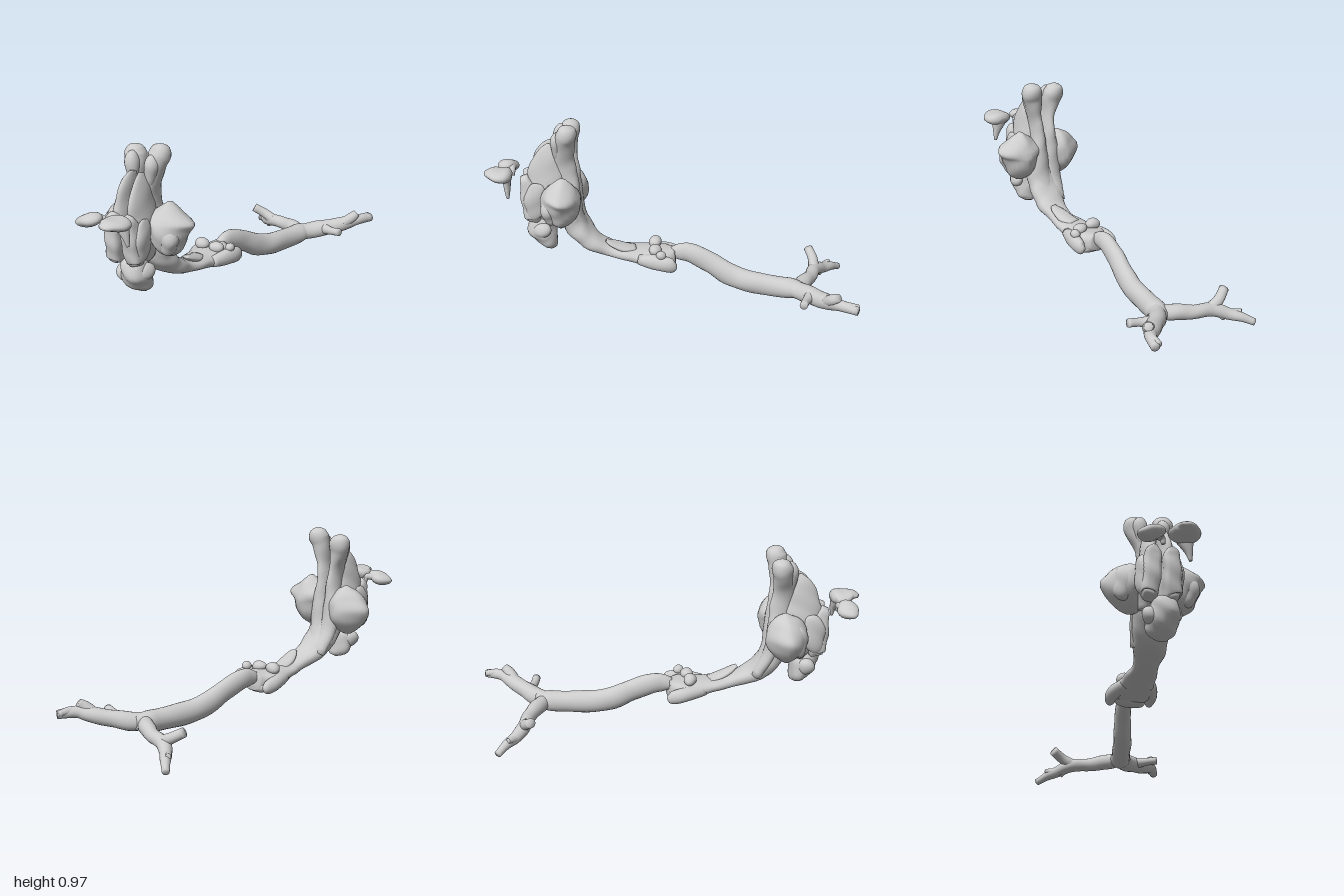
import * as THREE from 'three';
import { mergeVertices } from 'three/addons/utils/BufferGeometryUtils.js';

const material = new THREE.MeshStandardMaterial({ color: 0xcccccc });
const X = new THREE.Vector3(1, 0, 0), Y = new THREE.Vector3(0, 1, 0);

// Gentle organic unevenness from position
const ripple = (p) => Math.sin(p.x * 37 + p.y * 21) * Math.sin(p.z * 31 + p.y * 33 + 1);
// Cosine or sine made squarer by a power below 1, more pointed above 1
const shaped = (v, power) => Math.sign(v) * Math.abs(v) ** power;

export function createModel() {
  const model = new THREE.Group();

  function add(name, geometry) {
    geometry.computeVertexNormals();
    const mesh = new THREE.Mesh(geometry, material);
    mesh.name = name;
    model.add(mesh);
  }

  // Loft ovals [x, y, z, radius along ref, radius across ref] along a smooth path
  function loft(name, rows, ref = X, bump = 0.06, power = 1, sides = 20) {
    const path = new THREE.CatmullRomCurve3(rows.map((r) => new THREE.Vector3(r[0], r[1], r[2])), false, 'catmullrom');
    const size = new THREE.CatmullRomCurve3(rows.map((r) => new THREE.Vector3(r[3], r[4] ?? r[3], 0)), false, 'catmullrom');
    const steps = (rows.length - 1) * 5, pos = [], index = [];
    for (let i = 0; i <= steps; i++) {
      const c = path.getPoint(i / steps), s = size.getPoint(i / steps), t = path.getTangent(i / steps);
      const a = ref.clone().addScaledVector(t, -ref.dot(t)).normalize();
      const b = t.clone().cross(a);
      for (let j = 0; j < sides; j++) {
        const w = (j / sides) * Math.PI * 2;
        const d = a.clone().multiplyScalar(shaped(Math.cos(w), power) * s.x)
          .addScaledVector(b, shaped(Math.sin(w), power) * s.y);
        const k = 1 + bump * ripple(c.clone().add(d));
        pos.push(...c.clone().addScaledVector(d, k).toArray());
        if (i < steps) {
          const p = i * sides + j, q = i * sides + (j + 1) % sides;
          index.push(p, q, p + sides, q, q + sides, p + sides);
        }
      }
    }
    const n = pos.length / 3;
    pos.push(...path.getPoint(0).toArray(), ...path.getPoint(1).toArray());
    for (let j = 0; j < sides; j++) {
      const k = (j + 1) % sides, e = n - sides;
      index.push(n, k, j, n + 1, e + j, e + k);
    }
    const g = new THREE.BufferGeometry();
    g.setAttribute('position', new THREE.Float32BufferAttribute(pos, 3));
    g.setIndex(index);
    add(name, g);
  }

  // Uneven rounded lump
  function lump(name, [x, y, z], [rx, ry, rz], rot = [0, 0, 0], bump = 0.14) {
    let g = new THREE.IcosahedronGeometry(1, 6);
    g.deleteAttribute('uv');
    g.deleteAttribute('normal');
    g = mergeVertices(g);
    g.scale(rx, ry, rz);
    g.rotateX(rot[0]).rotateY(rot[1]).rotateZ(rot[2]);
    const p = g.attributes.position, v = new THREE.Vector3(), at = new THREE.Vector3(x, y, z);
    for (let i = 0; i < p.count; i++) {
      v.fromBufferAttribute(p, i);
      v.multiplyScalar(1 + bump * ripple(v.clone().add(at))).add(at);
      p.setXYZ(i, v.x, v.y, v.z);
    }
    add(name, g);
  }

  // Windpipe
  loft('windpipe', [
    [-0.08, 0.235, 0.0, 0.03, 0.03], [-0.075, 0.24, -0.05, 0.035, 0.049], [-0.07, 0.235, -0.11, 0.04, 0.056],
    [-0.05, 0.195, -0.21, 0.043, 0.058], [-0.025, 0.143, -0.31, 0.047, 0.062], [0.005, 0.116, -0.42, 0.05, 0.061],
    [0.04, 0.109, -0.58, 0.051, 0.058], [0.06, 0.111, -0.66, 0.055, 0.053], [0.075, 0.115, -0.72, 0.03, 0.035],
  ], X, 0.03);

  // Airway branches
  loft('leftMainBranch', [
    [0.05, 0.112, -0.63, 0.045], [0.1, 0.115, -0.71, 0.048], [0.18, 0.13, -0.78, 0.045],
    [0.26, 0.15, -0.85, 0.039], [0.31, 0.165, -0.9, 0.03], [0.355, 0.16, -0.985, 0.023],
  ], Y);
  loft('leftUpperTwig', [[0.25, 0.15, -0.83, 0.03], [0.29, 0.185, -0.86, 0.03], [0.31, 0.21, -0.885, 0.022]]);
  loft('leftEndTwig', [[0.3, 0.165, -0.88, 0.025], [0.325, 0.172, -0.93, 0.022], [0.335, 0.17, -0.99, 0.016]], Y);
  loft('leftSideTwig', [[0.17, 0.13, -0.75, 0.032], [0.23, 0.135, -0.725, 0.023], [0.29, 0.145, -0.71, 0.021]], Y);
  loft('rightMainBranch', [
    [0.07, 0.112, -0.66, 0.035], [0.0, 0.107, -0.71, 0.042], [-0.1, 0.098, -0.76, 0.036],
    [-0.2, 0.09, -0.79, 0.036], [-0.26, 0.065, -0.83, 0.032], [-0.31, 0.05, -0.88, 0.025], [-0.365, 0.022, -0.93, 0.018],
  ], Y);
  loft('rightUpperTwig', [[-0.19, 0.095, -0.785, 0.032], [-0.25, 0.125, -0.78, 0.027], [-0.31, 0.16, -0.755, 0.026]], Y);
  loft('rightEndTwig', [[-0.27, 0.06, -0.83, 0.024], [-0.31, 0.07, -0.86, 0.016], [-0.325, 0.075, -0.875, 0.012]], Y);
  loft('rightLowerTwig', [[-0.23, 0.07, -0.81, 0.022], [-0.25, 0.035, -0.825, 0.012]]);

  // Curved base linking windpipe and upright frame
  loft('base', [
    [-0.08, 0.215, -0.02, 0.05, 0.05], [-0.075, 0.21, 0.04, 0.095, 0.052], [-0.08, 0.215, 0.12, 0.1, 0.045],
    [-0.08, 0.225, 0.22, 0.085, 0.035], [-0.08, 0.24, 0.31, 0.065, 0.033], [-0.087, 0.27, 0.4, 0.075, 0.042],
    [-0.1, 0.32, 0.475, 0.088, 0.055], [-0.115, 0.4, 0.535, 0.095, 0.06], [-0.125, 0.52, 0.565, 0.09, 0.055],
    [-0.128, 0.62, 0.58, 0.06, 0.04],
  ], X, 0.06, 0.85, 24);
  loft('rearHornRight', [[-0.14, 0.215, 0.17, 0.03], [-0.17, 0.205, 0.06, 0.037], [-0.175, 0.195, -0.01, 0.026, 0.036], [-0.17, 0.195, -0.035, 0.01]]);
  loft('rearHornLeft', [[-0.01, 0.22, 0.17, 0.03], [0.025, 0.22, 0.06, 0.035, 0.045], [0.035, 0.21, -0.01, 0.026, 0.04], [0.03, 0.21, -0.035, 0.01]]);
  lump('rearUnderside', [-0.08, 0.188, 0.03], [0.1, 0.042, 0.05]);
  for (const x of [-0.125, -0.035]) lump('rearKnob', [x, 0.27, 0.09], [0.042, 0.03, 0.034]);
  lump('sideKnob', [0.028, 0.268, 0.05], [0.026, 0.025, 0.028]);
  loft('flap', [
    [-0.085, 0.25, 0.2, 0.04, 0.015], [-0.07, 0.262, 0.26, 0.045, 0.02],
    [-0.055, 0.288, 0.32, 0.036, 0.015], [-0.052, 0.308, 0.355, 0.018, 0.007],
  ]);

  // Paired upright parts, mirrored about the frame's own middle
  for (const s of [-1, 1]) {
    const m = (rows) => rows.map(([x, ...r]) => [-0.13 + s * x, ...r]);
    const up = s > 0 ? 0.025 : 0;
    loft('prong', m([
      [0.02, 0.29, 0.44, 0.04, 0.03], [0.035, 0.42, 0.51, 0.05, 0.035], [0.038, 0.56, 0.535, 0.046, 0.045],
      [0.035, 0.68, 0.56, 0.032, 0.058], [0.045, 0.77, 0.57, 0.03, 0.055], [0.062, 0.85 + up, 0.56, 0.05, 0.052],
      [0.073, 0.9 + up, 0.55, 0.057, 0.055], [0.075, 0.935 + up, 0.55, 0.04, 0.038], [0.075, 0.95 + up, 0.55, 0.006, 0.006],
    ]));
    loft('prongKnob', m([
      [0.045, 0.76, 0.6, 0.015, 0.02], [0.052, 0.82, 0.605, 0.03, 0.03], [0.058, 0.875, 0.6, 0.037, 0.04],
      [0.06, 0.91, 0.59, 0.026, 0.03], [0.06, 0.925, 0.58, 0.006, 0.006],
    ]));
    loft('uprightPlate', m([
      [0.04, 0.4, 0.63, 0.03, 0.06], [0.045, 0.5, 0.66, 0.05, 0.11], [0.045, 0.6, 0.67, 0.048, 0.11],
      [0.042, 0.7, 0.67, 0.034, 0.095], [0.035, 0.79, 0.655, 0.024, 0.065], [0.025, 0.845, 0.64, 0.008, 0.025],
    ]), X, 0.08);
    loft('frontBlock', m([
      [0.062, 0.405, 0.755, 0.025, 0.03], [0.056, 0.43, 0.75, 0.042, 0.045], [0.052, 0.52, 0.762, 0.045, 0.052],
      [0.05, 0.6, 0.77, 0.043, 0.045], [0.045, 0.645, 0.785, 0.035, 0.03], [0.04, 0.668, 0.795, 0.012, 0.018],
    ]), X, 0.1, 0.65);
    lump('frontRidge', [-0.13 + s * 0.09, 0.54, 0.73], [0.026, 0.11, 0.06]);
  }

  // Broad side lobes with a pointed outer edge
  loft('rightLobe', [
    [-0.24, 0.4, 0.58, 0.03, 0.02], [-0.24, 0.43, 0.58, 0.075, 0.06], [-0.24, 0.48, 0.58, 0.118, 0.1],
    [-0.24, 0.535, 0.58, 0.142, 0.108], [-0.24, 0.585, 0.575, 0.118, 0.1], [-0.24, 0.635, 0.57, 0.065, 0.065],
    [-0.24, 0.665, 0.57, 0.012, 0.012],
  ], X, 0.05, 1.25, 24);
  loft('leftLobe', [
    [0.01, 0.42, 0.585, 0.03, 0.02], [0.01, 0.45, 0.585, 0.07, 0.065], [0.01, 0.5, 0.585, 0.095, 0.1],
    [0.01, 0.56, 0.585, 0.118, 0.11], [0.01, 0.605, 0.58, 0.145, 0.1], [0.01, 0.65, 0.575, 0.075, 0.07],
    [0.01, 0.695, 0.57, 0.012, 0.02],
  ], X, 0.05, 1.25, 24);
  lump('leftLobeFront', [0.04, 0.53, 0.63], [0.06, 0.08, 0.055]);
  lump('rightLobeFront', [-0.275, 0.53, 0.63], [0.06, 0.09, 0.05]);

  // Lump under the front blocks
  loft('lowerLump', [
    [-0.09, 0.235, 0.65, 0.02, 0.02], [-0.095, 0.255, 0.66, 0.055, 0.038], [-0.105, 0.3, 0.685, 0.085, 0.06],
    [-0.105, 0.36, 0.715, 0.08, 0.075], [-0.11, 0.41, 0.735, 0.06, 0.05], [-0.11, 0.43, 0.74, 0.012, 0.012],
  ], X, 0.12);
  lump('lowerKnobRight', [-0.172, 0.335, 0.71], [0.04, 0.05, 0.045]);
  lump('lowerKnobLeft', [-0.045, 0.36, 0.7], [0.035, 0.045, 0.05]);

  // Loose pieces ahead of the frame
  lump('rightLoosePiece', [-0.225, 0.663, 0.905], [0.068, 0.034, 0.055], [0, 0.25, 0.25]);
  loft('leftLoosePiece', [
    [-0.065, 0.67, 0.853, 0.03, 0.015], [-0.063, 0.675, 0.875, 0.068, 0.036], [-0.062, 0.68, 0.92, 0.076, 0.032],
    [-0.07, 0.687, 0.965, 0.055, 0.024], [-0.085, 0.685, 0.995, 0.018, 0.008],
  ]);
  loft('rightLooseStem', [[-0.2, 0.67, 0.885, 0.022, 0.035], [-0.16, 0.665, 0.867, 0.018, 0.016], [-0.15, 0.635, 0.865, 0.01]], Y);
  loft('leftLooseStem', [[-0.05, 0.67, 0.88, 0.05, 0.022], [-0.03, 0.61, 0.875, 0.022, 0.016], [-0.02, 0.56, 0.873, 0.008, 0.008]]);

  return model;
}
